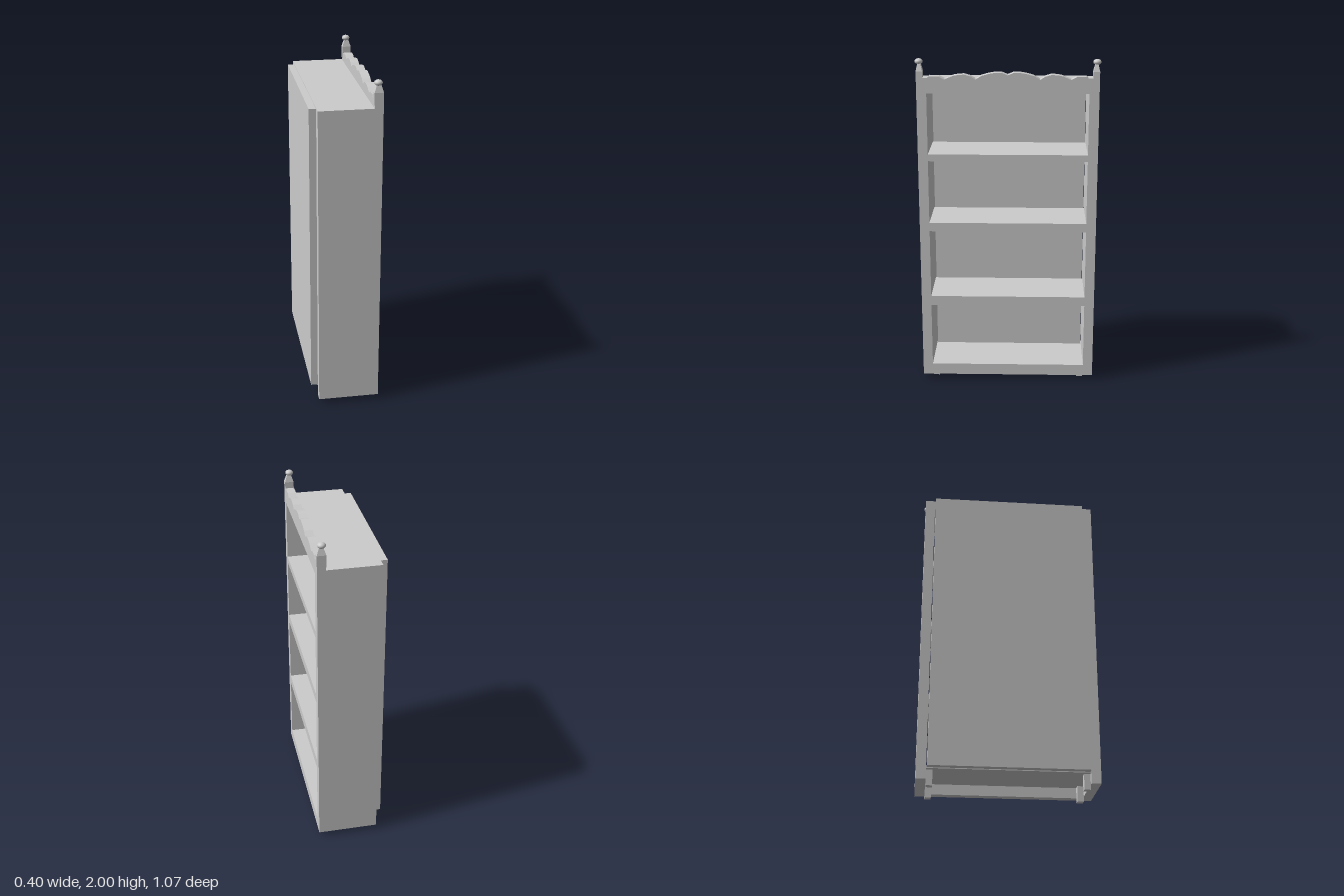
import * as THREE from 'three';

const material = new THREE.MeshStandardMaterial({ color: 0xcccccc, flatShading: true });
const smooth = new THREE.MeshStandardMaterial({ color: 0xcccccc });

export function createModel() {
  const bookcase = new THREE.Group();
  bookcase.name = 'bookcase';

  const add = (name, geometry, mat = material) => {
    const mesh = new THREE.Mesh(geometry, mat);
    mesh.name = name;
    bookcase.add(mesh);
    return mesh;
  };
  // Box given by its limits on each axis
  const box = (name, [x0, x1], [y0, y1], [z0, z1]) =>
    add(name, new THREE.BoxGeometry(x1 - x0, y1 - y0, z1 - z0))
      .position.set((x0 + x1) / 2, (y0 + y1) / 2, (z0 + z1) / 2);

  const W = 0.525, IN = 0.467, FRONT = 0.2, FRAME = 0.15, BACK = -0.16;
  const BASE = 0.03, TOP = 1.843;
  const openings = [[0.1, 0.495], [0.553, 0.97], [1.023, 1.402], [1.443, 1.804]];

  // Front frame: scalloped crest on top, four openings cut through
  const crest = [
    [0.49, 1.892], [0.46, 1.892], [0.45, 1.902], [0.395, 1.9], [0.363, 1.884],
    [0.315, 1.904], [0.285, 1.91], [0.25, 1.912], [0.215, 1.902], [0.185, 1.884],
    [0.15, 1.905], [0.11, 1.916], [0.07, 1.923], [0.035, 1.923], [0, 1.909],
  ];
  const mirrored = crest.slice(0, -1).reverse().map(([a, y]) => [-a, y]);
  const outline = [[-W, BASE], [W, BASE], [W, 1.892], ...crest, ...mirrored, [-W, 1.892]];
  const frame = new THREE.Shape(outline.map(([a, y]) => new THREE.Vector2(a, y)));
  for (const [y0, y1] of openings) {
    frame.holes.push(new THREE.Path([[-IN, y0], [-IN, y1], [IN, y1], [IN, y0]]
      .map(([a, y]) => new THREE.Vector2(a, y))));
  }
  const frameGeometry = new THREE.ExtrudeGeometry(frame, { depth: FRONT - FRAME, bevelEnabled: false });
  frameGeometry.rotateY(Math.PI / 2).translate(FRAME, 0, 0);
  add('frontFrame', frameGeometry);

  // Carcass: top, projecting back, bottom and the shelves between openings
  box('topBoard', [BACK, FRAME], [1.804, TOP], [-IN, IN]);
  box('backPanel', [-0.2, -0.115], [0.097, 1.839], [-0.463, 0.463]);
  box('bottomBoard', [BACK, FRAME], [0.092, 0.1], [-IN, IN]);
  for (let i = 0; i < openings.length - 1; i++) {
    box('shelf', [-0.115, FRAME], [openings[i][1], openings[i + 1][0]], [-IN, IN]);
  }

  for (const s of [-1, 1]) {
    const span = (a, b) => (s > 0 ? [a, b] : [-b, -a]);
    box('sidePanel', [BACK, FRAME], [BASE, TOP], span(IN, W));

    // Feet tucked into the hollow base
    box('backFoot', [-0.135, -0.095], [0, 0.092], span(0.43, IN));
    box('frontFoot', [0.107, FRAME], [0, 0.092], span(0.43, IN));

    // Corner post with a tapered neck and a flattened ball
    box('cornerPost', [0.148, FRONT], [1.86, 1.93], span(0.488, W));
    const neck = new THREE.CylinderGeometry(0.012 * Math.SQRT2, 0.026 * Math.SQRT2, 0.042, 4);
    neck.rotateY(Math.PI / 4).scale(1, 1, 0.72);
    add('postNeck', neck).position.set(0.174, 1.951, s * 0.5065);
    const ball = new THREE.SphereGeometry(0.0235, 20, 12);
    ball.scale(1, 0.72, 1);
    add('finial', ball, smooth).position.set(0.171, 1.983, s * 0.509);
  }
  return bookcase;
}
